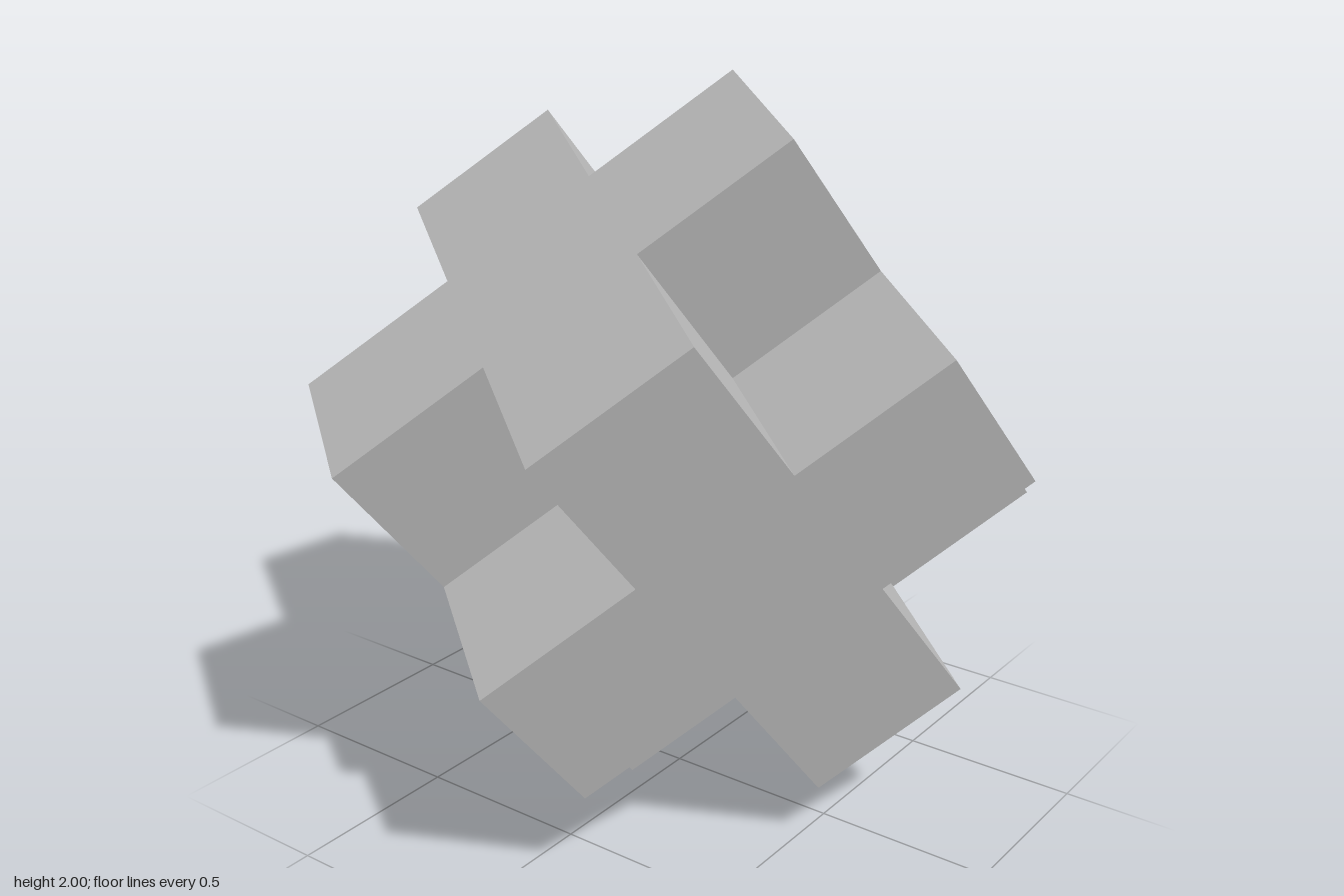
import * as THREE from 'three';
import { mergeGeometries } from 'three/addons/utils/BufferGeometryUtils.js';

// The block is a 3 x 3 x 3 cube of cells with all eight corner cells cut away.
const CELL = 0.4641;
const H = CELL / 2, R = CELL * 1.5;

// Plus-shaped outline, one quarter turned four times
function plusShape() {
  const points = [];
  for (let i = 0; i < 4; i++) {
    for (const [x, y] of [[R, -H], [R, H], [H, H]]) {
      points.push(new THREE.Vector2(x, y).rotateAround(new THREE.Vector2(), i * Math.PI / 2));
    }
  }
  return new THREE.Shape(points);
}

// Square floors of the four corner notches, one cell below the plus
function notchFloors() {
  const floors = [];
  for (const x of [-CELL, CELL]) {
    for (const y of [-CELL, CELL]) {
      floors.push(new THREE.PlaneGeometry(CELL, CELL).translate(x, y, H));
    }
  }
  return mergeGeometries(floors);
}

export function createModel() {
  const grey = new THREE.MeshStandardMaterial({ color: 0xbfbfbf });
  grey.name = 'plain grey';

  const plus = new THREE.ShapeGeometry(plusShape()).translate(0, 0, R);
  const floors = notchFloors();

  // Six identical sides around the cube
  const block = new THREE.Group();
  block.name = 'notchedCube';
  const q = Math.PI / 2;
  const sides = {
    front: [0, 0], left: [0, q], back: [0, 2 * q], right: [0, -q], top: [-q, 0], bottom: [q, 0],
  };
  for (const [name, [rx, ry]] of Object.entries(sides)) {
    const side = new THREE.Group();
    side.name = name + 'Side';
    side.rotation.set(rx, ry, 0);
    const face = new THREE.Mesh(plus, grey);
    face.name = name + 'PlusFace';
    const notch = new THREE.Mesh(floors, grey);
    notch.name = name + 'NotchFloors';
    side.add(face, notch);
    block.add(side);
  }

  // Tilt the cube, with one axis along a space diagonal
  const k = 1 / Math.sqrt(3), a = 0.5 + k / 2, b = 0.5 - k / 2;
  block.quaternion.setFromRotationMatrix(new THREE.Matrix4().makeBasis(
    new THREE.Vector3(k, k, -k),
    new THREE.Vector3(a, -b, k),
    new THREE.Vector3(b, -a, -k),
  ));
  block.position.y = 1;

  const model = new THREE.Group();
  model.name = 'model';
  model.add(block);
  return model;
}
